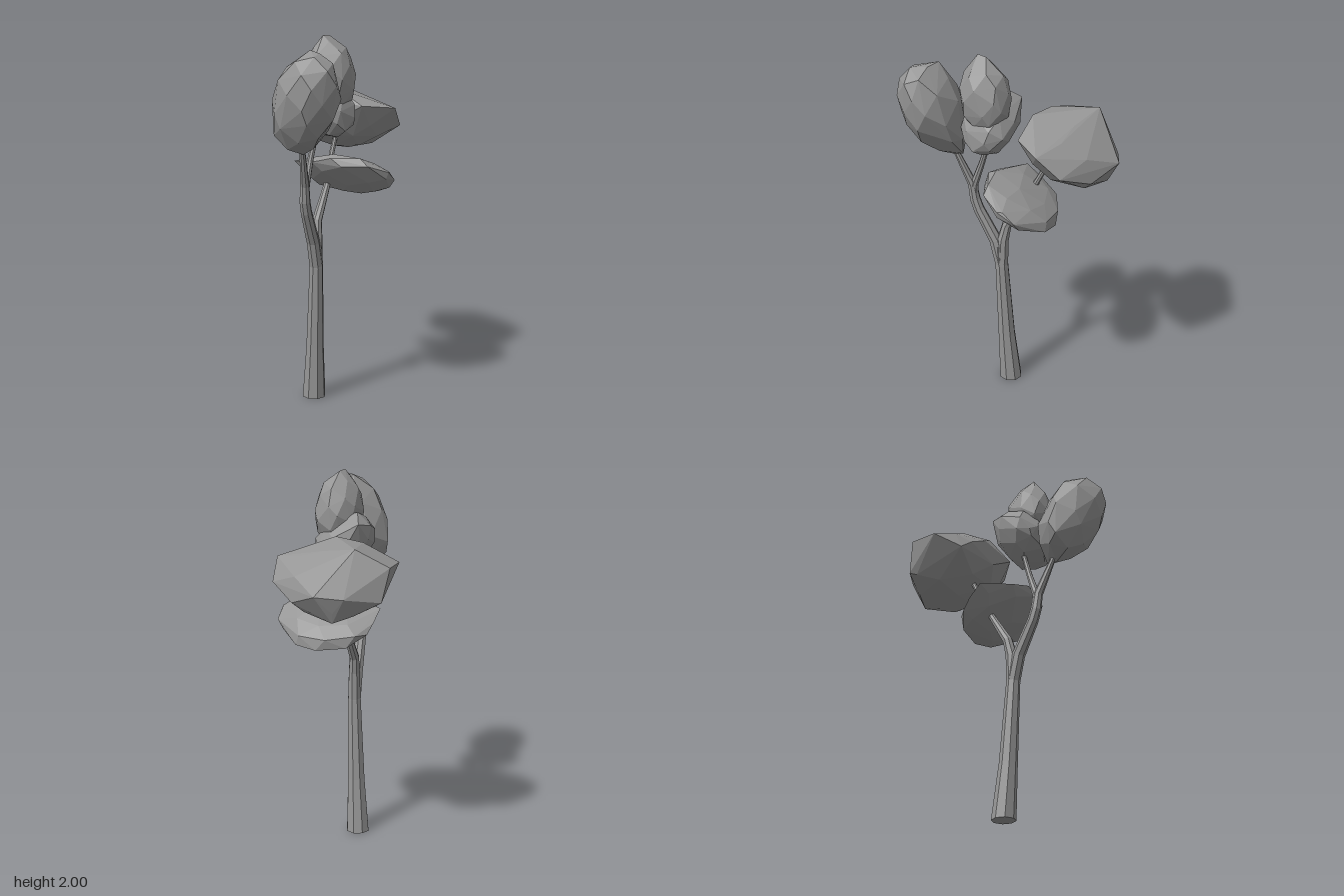
import * as THREE from 'three';
import { ConvexGeometry } from 'three/addons/geometries/ConvexGeometry.js';

const material = new THREE.MeshStandardMaterial({ color: 0x969696, flatShading: true });

function seeded(seed) {
  return () => {
    seed = (seed * 16807) % 2147483647;
    return seed / 2147483647;
  };
}

// Tapered limb: octagonal rings along stations of [x, y, z, radius], capped at both ends.
function limb(name, stations, sides = 8) {
  const centres = stations.map(s => new THREE.Vector3(s[0], s[1], s[2]));
  const positions = [], index = [];
  stations.forEach((s, i) => {
    const a = centres[Math.max(i - 1, 0)];
    const b = centres[Math.min(i + 1, centres.length - 1)];
    const dir = i === 0 ? new THREE.Vector3(0, 1, 0) : b.clone().sub(a).normalize();
    const turn = new THREE.Quaternion().setFromUnitVectors(new THREE.Vector3(0, 1, 0), dir);
    for (let j = 0; j < sides; j++) {
      const t = ((j + 0.5) / sides) * Math.PI * 2;
      const p = new THREE.Vector3(Math.sin(t), 0, Math.cos(t)).multiplyScalar(s[3] * 1.04);
      p.applyQuaternion(turn).add(centres[i]);
      positions.push(p.x, p.y, p.z);
      if (i > 0) {
        const k = (j + 1) % sides, lo = (i - 1) * sides, hi = i * sides;
        index.push(lo + j, lo + k, hi + k, lo + j, hi + k, hi + j);
      }
    }
  });
  const last = (stations.length - 1) * sides;
  for (let j = 1; j < sides - 1; j++) {
    index.push(0, j + 1, j, last, last + j, last + j + 1);
  }
  const geometry = new THREE.BufferGeometry();
  geometry.setAttribute('position', new THREE.Float32BufferAttribute(positions, 3));
  geometry.setIndex(index);
  geometry.computeVertexNormals();
  const mesh = new THREE.Mesh(geometry, material);
  mesh.name = name;
  return mesh;
}

// Faceted leaf clump: an irregular hull on a leaning ellipsoid.
// half = half extents; lean = how strongly [xy, yz, xz] tilt together (-1..1);
// corners = extra points that pull the hull out of its even shape.
function clump({ name, centre, half, lean, count, seed, corners }) {
  const random = seeded(seed);
  const [xy, yz, xz] = lean;
  const b = Math.sqrt(1 - xy * xy);
  const c = (yz - xy * xz) / b;
  const d = Math.sqrt(1 - xz * xz - c * c);
  const points = corners.map(p => new THREE.Vector3(...p));
  for (let i = 0; i < count; i++) {
    const v = 1 - (2 * (i + 0.5)) / count;
    const t = i * 2.39996 + (random() - 0.5) * 0.45;
    const r = Math.sqrt(1 - v * v);
    const swell = 1.0 + random() * 0.08;
    const x = r * Math.cos(t) * swell, y = v * swell, z = r * Math.sin(t) * swell;
    points.push(new THREE.Vector3(
      centre[0] + half[0] * x,
      centre[1] + half[1] * (xy * x + b * y),
      centre[2] + half[2] * (xz * x + c * y + d * z)
    ));
  }
  const mesh = new THREE.Mesh(new ConvexGeometry(points), material);
  mesh.name = name;
  return mesh;
}

export function createModel() {
  const tree = new THREE.Group();
  tree.name = 'tree';

  // Trunk and forking branches
  const wood = new THREE.Group();
  wood.name = 'trunkAndBranches';
  wood.add(
    limb('trunk', [
      [-0.065, 0, -0.022, 0.062], [-0.075, 0.3, 0.0, 0.047],
      [-0.085, 0.75, 0.025, 0.036], [-0.09, 0.87, 0.03, 0.03]
    ]),
    limb('rightBranch', [
      [-0.085, 0.75, 0.025, 0.035], [-0.118, 0.9, 0.04, 0.034], [-0.198, 1.08, 0.085, 0.029],
      [-0.215, 1.14, 0.095, 0.028], [-0.224, 1.23, 0.105, 0.024], [-0.285, 1.43, 0.165, 0.014],
      [-0.3, 1.52, 0.2, 0.01]
    ]),
    limb('rightInnerBranch', [
      [-0.216, 1.15, 0.095, 0.022], [-0.213, 1.23, 0.1, 0.021], [-0.17, 1.36, 0.085, 0.016],
      [-0.11, 1.54, 0.075, 0.012]
    ]),
    limb('leftBranch', [
      [-0.085, 0.75, 0.025, 0.035], [-0.079, 0.91, 0.02, 0.031], [-0.064, 1.0, 0.005, 0.026],
      [0.035, 1.17, -0.035, 0.018], [0.105, 1.33, -0.08, 0.014], [0.17, 1.47, -0.11, 0.011]
    ])
  );
  tree.add(wood);

  // Leaf clumps
  const foliage = new THREE.Group();
  foliage.name = 'foliage';
  const clumps = [
    { name: 'rightClump', centre: [-0.337, 1.685, 0.262], half: [0.155, 0.255, 0.19],
      lean: [-0.1, 0.38, 0], count: 40, seed: 11,
      corners: [[-0.19, 1.53, 0.2], [-0.22, 1.43, 0.17], [-0.29, 1.41, 0.18], [-0.3, 1.945, 0.25]] },
    { name: 'topClump', centre: [-0.083, 1.785, 0.14], half: [0.138, 0.185, 0.125],
      lean: [-0.1, 0, 0], count: 38, seed: 23,
      corners: [[-0.13, 2.0, 0.14], [-0.08, 1.995, 0.13]] },
    { name: 'middleClump', centre: [-0.088, 1.625, 0.097], half: [0.145, 0.15, 0.162],
      lean: [-0.05, -0.35, 0.1], count: 38, seed: 37,
      corners: [[-0.235, 1.62, 0.05], [-0.08, 1.79, 0.0], [-0.02, 1.74, -0.065]] },
    { name: 'leftUpperClump', centre: [0.235, 1.505, -0.165], half: [0.235, 0.175, 0.27],
      lean: [-0.38, 0.12, 0.12], count: 36, seed: 51,
      corners: [
        [0.17, 1.6, -0.465], [0.22, 1.43, -0.455], [0.03, 1.6, -0.4], [-0.025, 1.53, -0.26],
        [0.14, 1.61, 0.13], [0.32, 1.59, 0.19], [0.42, 1.48, 0.12], [0.49, 1.47, -0.25],
        [0.39, 1.325, -0.28], [0.28, 1.69, -0.33], [0.1, 1.69, -0.02]
      ] },
    { name: 'leftLowerClump', centre: [0.1, 1.237, 0.055], half: [0.195, 0.13, 0.255],
      lean: [-0.65, 0.32, 0.22], count: 34, seed: 67,
      corners: [[0.17, 1.28, 0.312], [-0.08, 1.3, -0.17], [0, 1.24, -0.195]] }
  ];
  clumps.forEach(c => foliage.add(clump(c)));
  tree.add(foliage);

  return tree;
}
